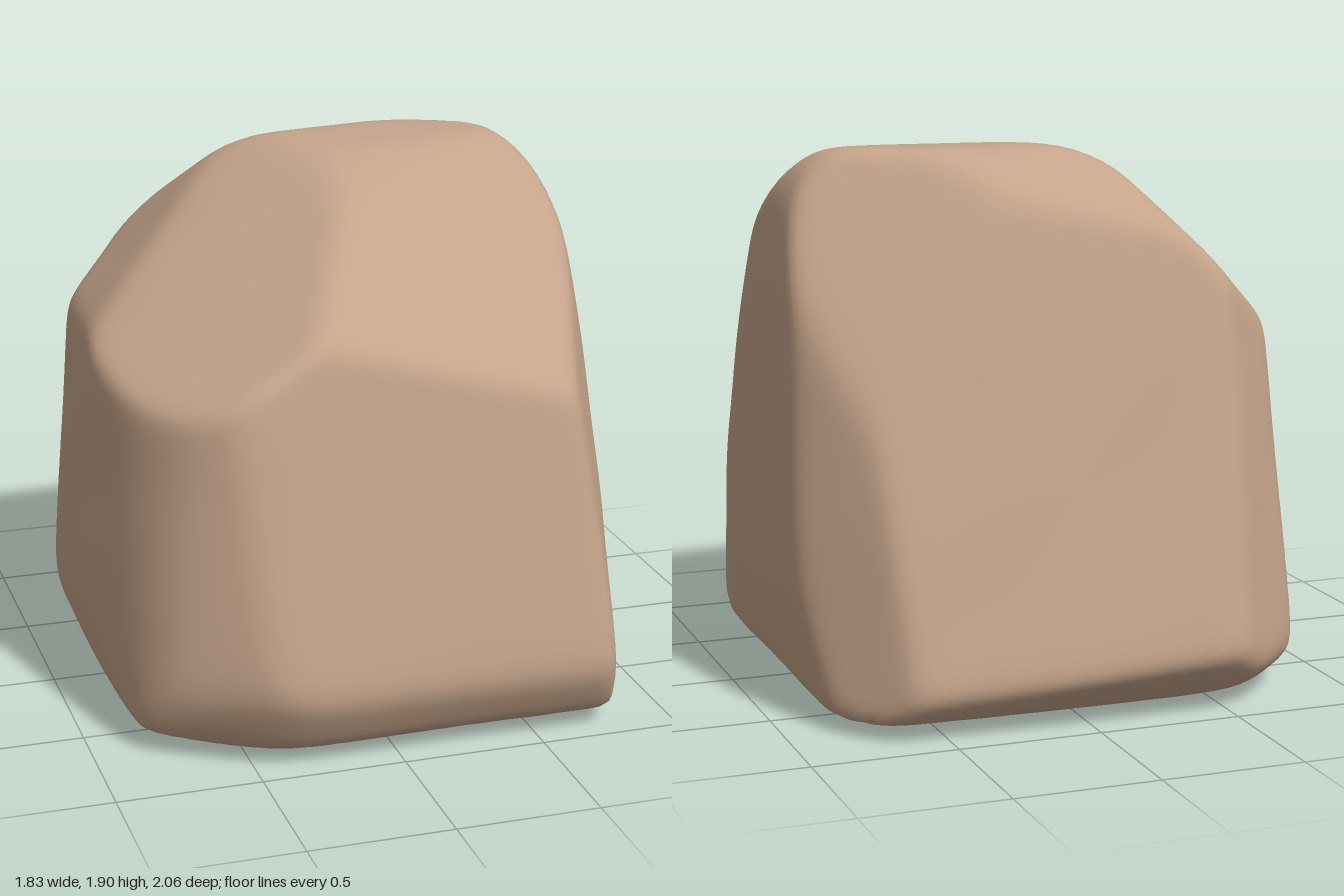
import * as THREE from 'three';
import { mergeVertices } from 'three/addons/utils/BufferGeometryUtils.js';

// Chiselled faces: [heading in degrees (0 = front, 90 = +x), upward tilt in degrees,
// distance from the centre of the rock]
const TOP = [
  [0, 88, 1.04], [0, 67, 0.95],          // ridge and its front slope
  [17, 52.5, 0.896], [-58, 56, 0.84],    // front brows
  [-100, 44.5, 0.93], [-170, 54, 1.06],  // left and back slopes
  [94, 45, 1.248], [90, 15, 1.038],      // right shoulder
];
const FRONT = [
  [0, 11, 0.91], [0, -30, 1.2],          // main face and lower bevel
  [-34, 6, 1.04], [-60, 6, 1.005], [-30, -27, 1.25], // left corner
  [65, 11.3, 0.995], [77, 0, 0.975],     // right corner
];
const SIDES = [
  [89, 2, 0.9], [90, -12, 0.993],
  [-96, 3.5, 0.883], [-78, 3.5, 0.93], [-90, -14.7, 1.02],
];
const BACK = [
  [175.5, 14.5, 0.82], [180, -45, 1.188],    // main face and lower bevel
  [127.5, 6, 1.015], [154, 25.5, 0.945],     // cut corner and steep shoulder above it
  [-135, 8.6, 1], [-135, -44.7, 1.291],      // other corner
];
const UNDERSIDE = [
  [0, -90, 0.86], [90, -85.4, 0.866], [-90, -82, 0.893], [0, -84.3, 0.89], [180, -86.6, 0.866],
];

const CENTRE = new THREE.Vector3(0, 0.85, 0);
const SHARPNESS = 48;

const planes = [TOP, FRONT, SIDES, BACK, UNDERSIDE].flat().map(([heading, tilt, reach]) =>
  new THREE.Vector3().setFromSphericalCoords(
    1 / reach,
    THREE.MathUtils.degToRad(90 - tilt),
    THREE.MathUtils.degToRad(heading),
  ));

// Distance from the centre to the softly blended faces along a direction
function radius(dir) {
  let sum = 0;
  for (const n of planes) sum += Math.max(0, n.dot(dir)) ** SHARPNESS;
  const wave = Math.sin(dir.x * 7 + dir.y * 4) * Math.sin(dir.z * 6 - dir.y * 5 + 1);
  return sum ** (-1 / SHARPNESS) * (1 + 0.003 * wave);
}

function rockGeometry() {
  let geo = new THREE.IcosahedronGeometry(1, 48);
  geo.deleteAttribute('uv');
  geo.deleteAttribute('normal');
  geo = mergeVertices(geo, 1e-5);
  const pos = geo.attributes.position;
  const v = new THREE.Vector3();
  for (let i = 0; i < pos.count; i++) {
    v.fromBufferAttribute(pos, i).normalize();
    v.multiplyScalar(radius(v)).add(CENTRE);
    pos.setXYZ(i, v.x, v.y, v.z);
  }
  geo.computeVertexNormals();
  return geo;
}

export function createModel() {
  const group = new THREE.Group();
  group.name = 'boulder';
  const rock = new THREE.Mesh(rockGeometry(), new THREE.MeshStandardMaterial({ color: 0xc4a389 }));
  rock.name = 'rock';
  group.add(rock);
  return group;
}
